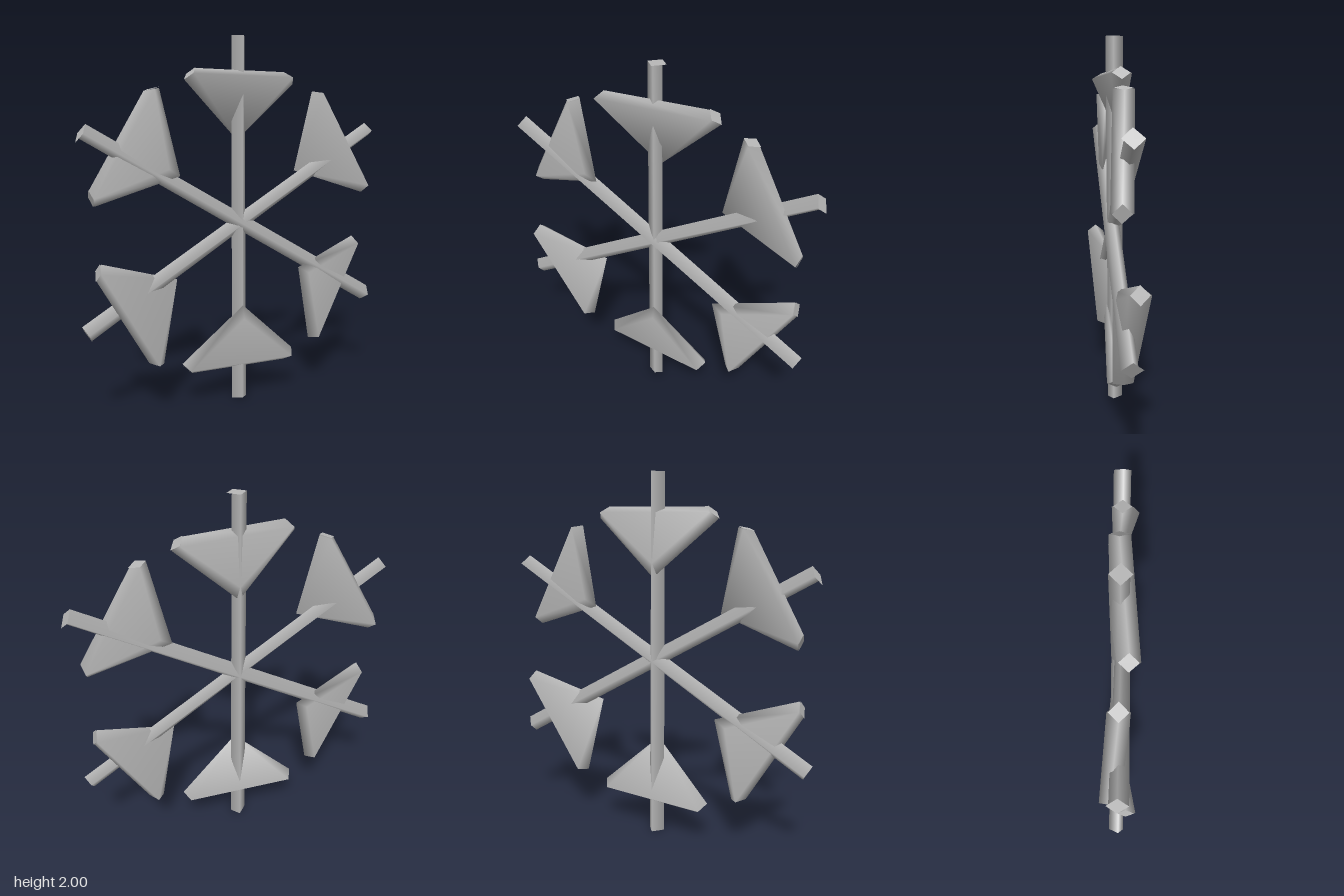
import * as THREE from 'three';
import { mergeVertices } from 'three/addons/utils/BufferGeometryUtils.js';
import { ConvexGeometry } from 'three/addons/geometries/ConvexGeometry.js';

const R = 0.052; // half diagonal of the diamond section

// Long bar through the centre, with two side edges drawn in
function barGeometry() {
  const geo = new THREE.CylinderGeometry(R, R, 2, 4, 1);
  const pos = geo.attributes.position;
  for (let i = 0; i < 10; i++) {
    const top = pos.getY(i) > 0;
    if (pos.getX(i) > 0.01) pos.setX(i, top ? 0.025 : 0.04);
    if (pos.getZ(i) > 0.01) pos.setZ(i, top ? 0.04 : 0.028);
  }
  return geo;
}

// Wedge spanning two branch ends; zl, zr and za shift the ends and the tip in depth
function wedgeGeometry(zl, zr, za) {
  const points = [
    new THREE.Vector3(0, 0.455, za),
    new THREE.Vector3(0, 0.53, za + 0.015),
    new THREE.Vector3(0, 0.53, za - 0.015),
  ];
  for (const [s, z] of [[-1, zl], [1, zr]]) {
    points.push(
      new THREE.Vector3(s * 0.337, 0.76, z),
      new THREE.Vector3(s * 0.28, 0.823, z),
      new THREE.Vector3(s * 0.307, 0.793, z + R),
      new THREE.Vector3(s * 0.307, 0.793, z - R),
    );
  }
  const hull = new ConvexGeometry(points);
  hull.deleteAttribute('normal');
  const geo = mergeVertices(hull, 1e-4);
  geo.computeVertexNormals();
  return geo;
}

export function createModel() {
  const group = new THREE.Group();
  const grey = new THREE.MeshStandardMaterial({ color: 0xb8b8b8 });
  grey.name = 'grey';

  const flake = new THREE.Group();
  flake.name = 'snowflake';
  flake.position.y = 1;
  group.add(flake);

  // Three crossing bars; the third is the second turned about
  const bar = barGeometry();
  for (const [turn, lean] of [[0, 0], [0, -Math.PI / 3], [Math.PI, -Math.PI / 3]]) {
    const mesh = new THREE.Mesh(bar, grey);
    mesh.name = 'bar';
    mesh.rotation.set(0, turn, lean);
    flake.add(mesh);
  }

  // Six wedges, clockwise from the top: depth of left end, right end and tip, sideways shift
  const wedges = [
    [0.04, -0.01, -0.035, 0],
    [0, 0.04, -0.03, -0.058],
    [-0.04, 0, 0.03, 0.058],
    [0.01, -0.04, 0.035, 0],
    [0, 0.04, -0.03, -0.058],
    [-0.04, 0, 0.03, 0.058],
  ];
  const cap = new THREE.CircleGeometry(0.046, 4);
  wedges.forEach(([zl, zr, za, shift], i) => {
    const arm = new THREE.Group();
    arm.name = 'branch';
    arm.rotation.z = -i * Math.PI / 3;
    const wedge = new THREE.Mesh(wedgeGeometry(zl, zr, za), grey);
    wedge.name = 'wedge';
    wedge.position.x = shift;
    arm.add(wedge);
    // Flat diamond ends
    for (const [s, z] of [[-1, zl], [1, zr]]) {
      const end = new THREE.Mesh(cap, grey);
      end.name = 'branchEnd';
      end.position.set(s * 0.31, 0.795, z);
      end.rotation.set(-Math.PI / 4, s * Math.PI / 4, 0);
      end.lookAt(s * 1.31, 1.795, z);
      wedge.add(end);
    }
    flake.add(arm);
  });

  return group;
}
